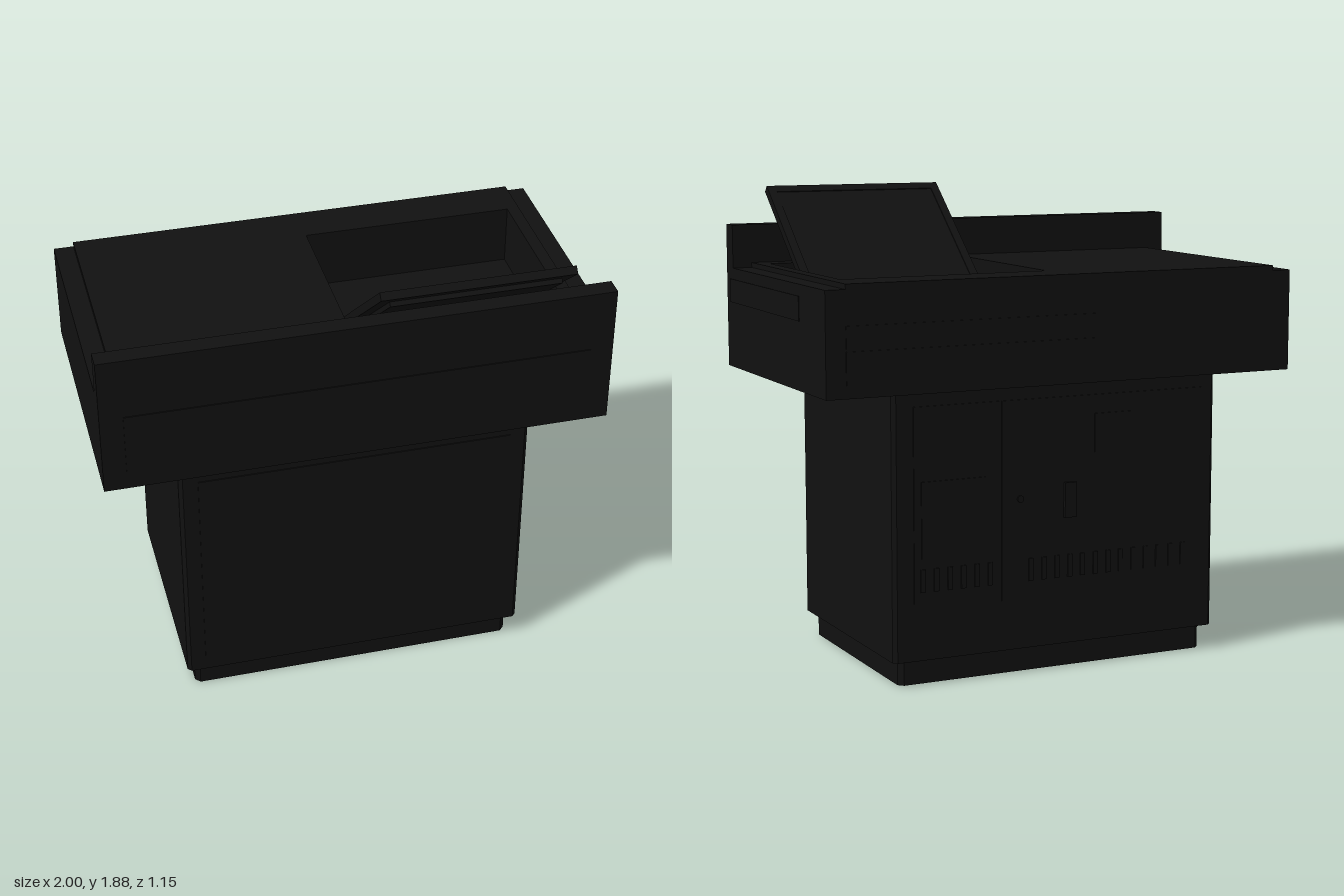
import * as THREE from 'three';

const black = new THREE.MeshStandardMaterial({ color: 0x111111 });

export function createModel() {
  const model = new THREE.Group();
  model.name = 'operatorConsole';

  const add = (name, geometry, parent = model) => {
    const mesh = new THREE.Mesh(geometry, black);
    mesh.name = name;
    parent.add(mesh);
    return mesh;
  };

  // Box given by its limits on each axis
  const box = (name, [x0, x1], [y0, y1], [z0, z1], parent) => {
    const mesh = add(name, new THREE.BoxGeometry(x1 - x0, y1 - y0, z1 - z0), parent);
    mesh.position.set((x0 + x1) / 2, (y0 + y1) / 2, (z0 + z1) / 2);
    return mesh;
  };

  // Upright block with slightly bevelled vertical corners
  const block = (name, w, [z0, z1], [y0, y1], c) => {
    const s = new THREE.Shape();
    s.moveTo(-w + c, -z1).lineTo(w - c, -z1).lineTo(w, -z1 + c).lineTo(w, -z0 - c);
    s.lineTo(w - c, -z0).lineTo(-w + c, -z0).lineTo(-w, -z0 - c).lineTo(-w, -z1 + c);
    const g = new THREE.ExtrudeGeometry(s, { depth: y1 - y0, bevelEnabled: false });
    g.rotateX(-Math.PI / 2);
    add(name, g).position.y = y0;
  };

  // Plinth and cabinet
  block('plinth', 0.67, [-0.455, 0.435], [0, 0.1], 0.02);
  block('cabinet', 0.705, [-0.488, 0.468], [0.1, 1.15], 0.015);
  box('cabinetFrontPanel', [-0.63, 0.63], [0.17, 1.07], [0.46, 0.472]);

  // Counter: base, end caps and a top with an opening for the screen
  box('counterBase', [-0.92, 0.92], [1.15, 1.33], [-0.57, 0.465]);
  for (const side of [-1, 1]) {
    box('counterEndCap', side < 0 ? [-1, -0.92] : [0.92, 1], [1.15, 1.555], [-0.57, 0.465]);
  }
  const top = new THREE.Shape();
  top.moveTo(-0.92, -0.465).lineTo(0.92, -0.465).lineTo(0.92, 0.57).lineTo(-0.92, 0.57);
  const well = new THREE.Path();
  well.moveTo(0.01, -0.385).lineTo(0.01, 0.39).lineTo(0.87, 0.39).lineTo(0.87, -0.385);
  top.holes.push(well);
  const topGeometry = new THREE.ExtrudeGeometry(top, { depth: 0.245, bevelEnabled: false });
  topGeometry.rotateX(-Math.PI / 2);
  add('counterTop', topGeometry).position.y = 1.33;

  // Raised front board with its trim panel
  box('frontBoard', [-1, 1], [1.15, 1.73], [0.465, 0.54]);
  box('frontBoardPanel', [-0.91, 0.91], [1.23, 1.48], [0.53, 0.544]);

  // Side drawer and two rear drawers
  box('sideDrawer', [0.99, 1.003], [1.415, 1.51], [-0.3, 0.5]);
  for (const y of [[1.2, 1.325], [1.335, 1.42]]) {
    box('rearDrawer', [-0.12, 0.92], y, [-0.574, -0.56]);
  }

  // Rear doors with plates, vents, lock and handle
  box('wideDoor', [-0.64, 0.25], [0.3, 1.09], [-0.492, -0.48]);
  box('narrowDoor', [0.26, 0.62], [0.3, 1.09], [-0.492, -0.48]);
  box('narrowDoorPlate', [0.32, 0.59], [0.5, 0.8], [-0.496, -0.48]);
  box('wideDoorPlate', [-0.33, -0.155], [0.86, 1.015], [-0.496, -0.48]);
  box('doorHandle', [-0.07, -0.02], [0.61, 0.75], [-0.505, -0.48]);
  const lock = add('doorLock', new THREE.CylinderGeometry(0.014, 0.014, 0.02, 16));
  lock.rotation.x = Math.PI / 2;
  lock.position.set(0.17, 0.7, -0.488);
  const vents = (start, count) => {
    for (let i = 0; i < count; i++) {
      const x = start + i * 0.057;
      box('ventSlat', [x, x + 0.02], [0.37, 0.46], [-0.497, -0.48]);
    }
  };
  vents(-0.57, 13);
  vents(0.29, 6);

  // Tilted screen facing the operator, rising out of the well
  const screen = new THREE.Group();
  screen.name = 'screen';
  screen.position.set(0.44, 1.634, 0.26);
  screen.rotation.x = THREE.MathUtils.degToRad(49.7);
  model.add(screen);
  box('screenBody', [-0.38, 0.38], [-0.38, 0.38], [0.004, 0.033], screen);
  const frame = new THREE.Shape();
  frame.moveTo(-0.38, -0.38).lineTo(0.38, -0.38).lineTo(0.38, 0.38).lineTo(-0.38, 0.38);
  const pane = new THREE.Path();
  pane.moveTo(-0.345, -0.345).lineTo(-0.345, 0.345).lineTo(0.345, 0.345).lineTo(0.345, -0.345);
  frame.holes.push(pane);
  add('screenFrame', new THREE.ExtrudeGeometry(frame, { depth: 0.004, bevelEnabled: false }), screen);
  box('screenHousing', [-0.335, 0.335], [-0.3, 0.32], [0.033, 0.052], screen);

  // Stand under the screen
  box('screenStand', [0.36, 0.52], [1.33, 1.56], [0.24, 0.3]);

  return model;
}
